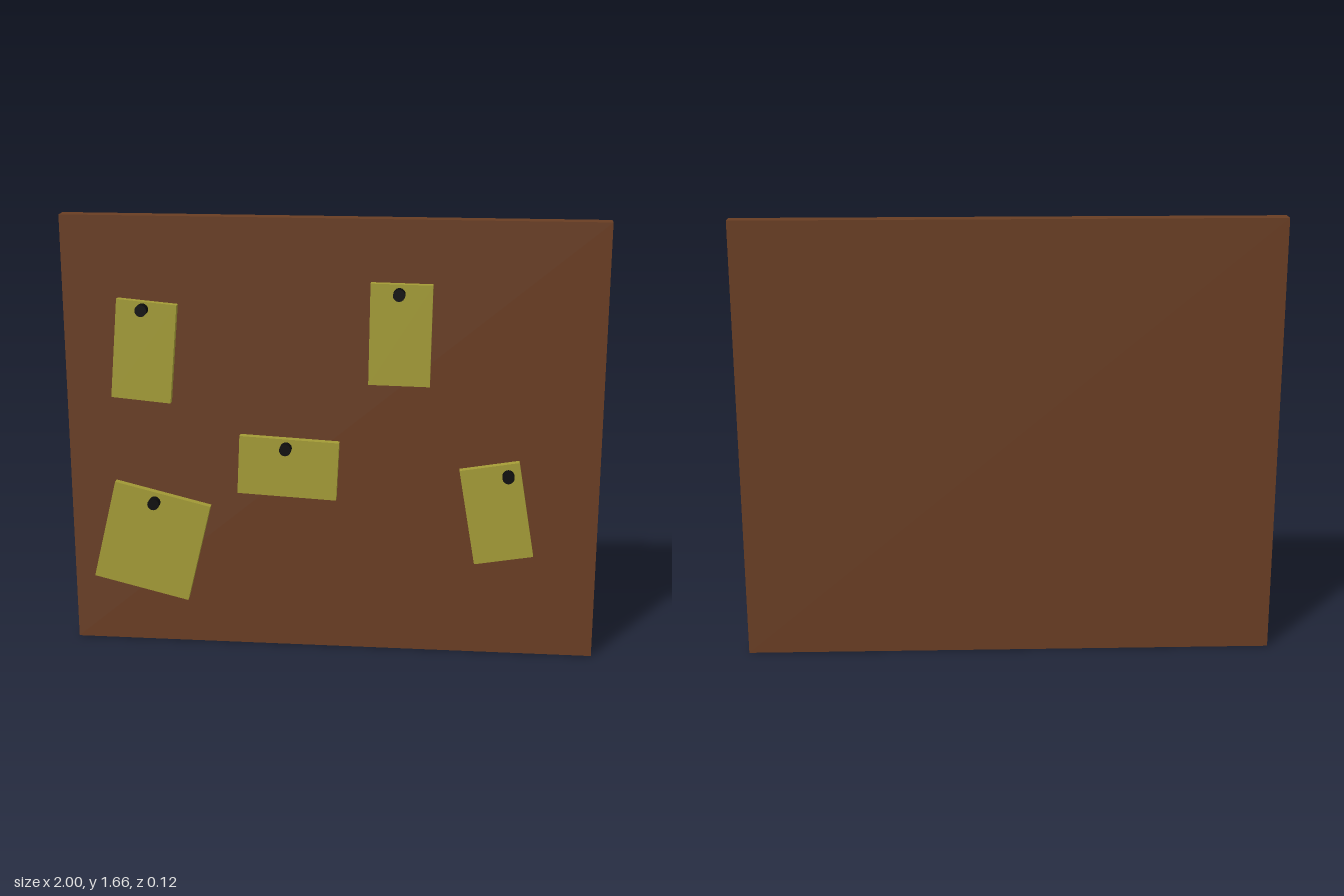
import * as THREE from 'three';

export function createModel() {
  const model = new THREE.Group();
  const wood = new THREE.MeshStandardMaterial({ color: 0x693d23 });
  const paper = new THREE.MeshStandardMaterial({ color: 0xa39b36 });
  const black = new THREE.MeshStandardMaterial({ color: 0x0c0c0c });

  const add = (name, geometry, material, x, y, z) => {
    const mesh = new THREE.Mesh(geometry, material);
    mesh.name = name;
    mesh.position.set(x, y, z);
    model.add(mesh);
    return mesh;
  };

  // Backing board
  add('board', new THREE.BoxGeometry(2, 1.665, 0.06), wood, 0, 0.8325, -0.031);

  // Tilted notes, each held by one pin
  const notes = [
    { x: -0.696, y: 1.165, w: 0.225, h: 0.375, tilt: -0.088, pin: [-0.695, 1.325] },
    { x: 0.255, y: 1.246, w: 0.226, h: 0.377, tilt: -0.016, pin: [0.25, 1.4] },
    { x: -0.161, y: 0.728, w: 0.375, h: 0.225, tilt: -0.05, pin: [-0.167, 0.808] },
    { x: 0.623, y: 0.573, w: 0.224, h: 0.373, tilt: 0.17, pin: [0.662, 0.725] },
    { x: -0.689, y: 0.417, w: 0.375, h: 0.396, tilt: -0.24, pin: [-0.673, 0.578] },
  ];
  const pinGeometry = new THREE.CylinderGeometry(0.022, 0.022, 0.036, 24).rotateX(Math.PI / 2);
  for (const { x, y, w, h, tilt, pin } of notes) {
    add('note', new THREE.BoxGeometry(w, h, 0.03), paper, x, y, 0.013).rotation.z = tilt;
    add('pin', pinGeometry, black, pin[0], pin[1], 0.044);
  }
  return model;
}
